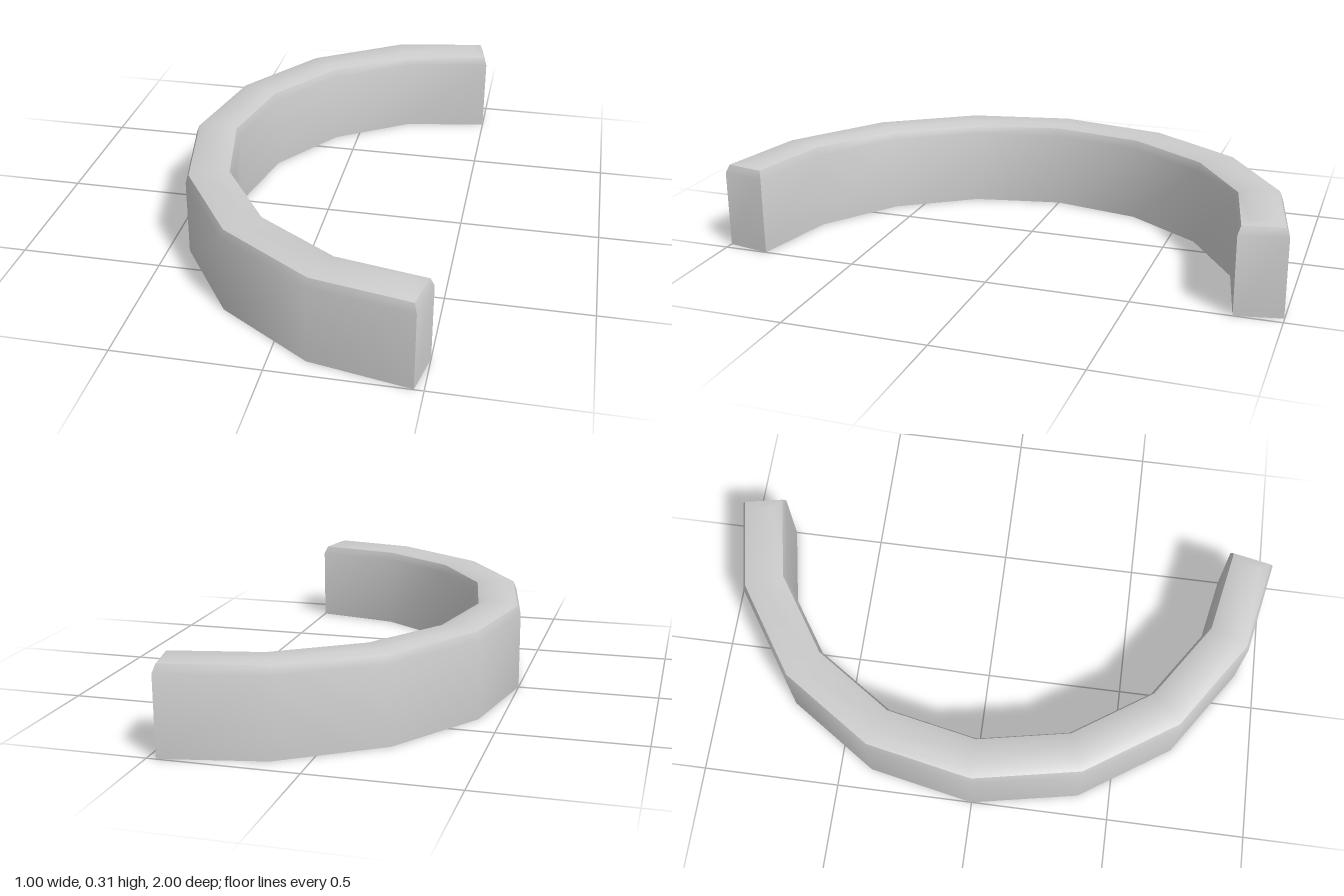
import * as THREE from 'three';
import { toCreasedNormals } from 'three/addons/utils/BufferGeometryUtils.js';

const STEP = Math.PI / 8;        // angle of one straight segment
const CENTER = 0.506;            // x of the arc's centre
const OUTER = 1.006, INNER = 0.841;
const END = 0.158;               // how far the last segments run past their middle

// One side of the arc, from the -z end round to the +z end.
// Ends are cut square to the last segment and pulled in by inset.
function arc(radius, inset) {
  const apothem = radius * Math.cos(STEP / 2);
  const a = 3.5 * STEP, u = END - inset;
  const x = CENTER - apothem * Math.cos(a) + u * Math.sin(a);
  const z = apothem * Math.sin(a) + u * Math.cos(a);
  const pts = [[x, -z]];
  for (let k = -3; k <= 3; k++) {
    pts.push([CENTER - radius * Math.cos(k * STEP), radius * Math.sin(k * STEP)]);
  }
  pts.push([x, z]);
  return pts;
}

// Closed outline of the band, shrunk evenly by inset
function outline(inset) {
  const mitre = inset / Math.cos(STEP / 2);
  return [...arc(OUTER - mitre, inset), ...arc(INNER + mitre, inset).reverse()];
}

function bandGeometry() {
  // Inset and height: straight wall, then a rounded top edge
  const levels = [[0, 0], [0, 0.275], [0.011, 0.304], [0.045, 0.315]];
  const positions = [], index = [];
  for (const [inset, y] of levels) {
    for (const [x, z] of outline(inset)) positions.push(x, y, z);
  }
  const n = outline(0).length;
  const quad = (a, b, c, d) => index.push(a, b, c, a, c, d);

  // Walls and rounded edge
  for (let l = 0; l < levels.length - 1; l++) {
    for (let i = 0; i < n; i++) {
      const j = (i + 1) % n;
      quad(l * n + i, l * n + j, (l + 1) * n + j, (l + 1) * n + i);
    }
  }
  // Top and bottom faces
  const top = (levels.length - 1) * n;
  for (let i = 0; i < n / 2 - 1; i++) {
    quad(top + i, top + i + 1, top + n - 2 - i, top + n - 1 - i);
    quad(n - 1 - i, n - 2 - i, i + 1, i);
  }

  const geometry = new THREE.BufferGeometry();
  geometry.setAttribute('position', new THREE.Float32BufferAttribute(positions, 3));
  geometry.setIndex(index);
  return toCreasedNormals(geometry, 0.7);
}

export function createModel() {
  const group = new THREE.Group();
  group.name = 'halfRing';
  const band = new THREE.Mesh(bandGeometry(), new THREE.MeshStandardMaterial({ color: 0xcccccc }));
  band.name = 'curvedBand';
  group.add(band);
  return group;
}
